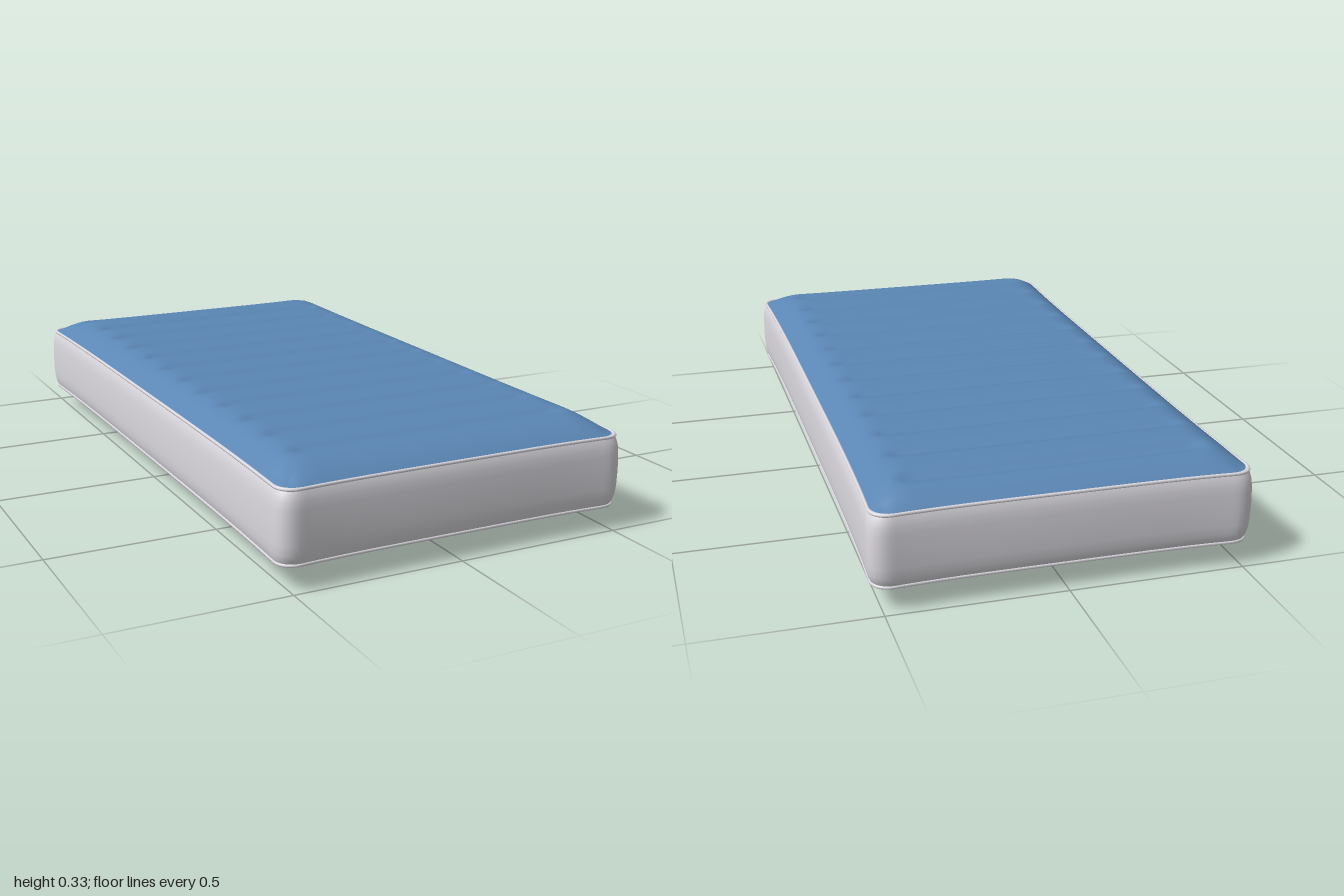
import * as THREE from 'three';

const HX = 0.537, HZ = 1.0, R = 0.06;      // half width, half length, corner radius
const NX = 72, NZ = 200;                   // grid resolution
const SEAM = 0.012, LOW = 0.07, HIGH = 0.272;

// Maps (u, v) in [-1, 1] onto a rounded rectangle whose sides pinch inwards between the corners
function place(u, v, inset) {
  const hx = HX - inset, hz = HZ - inset;
  let x = Math.abs(u) * hx, z = Math.abs(v) * hz;
  const a = x - (hx - R), b = z - (hz - R);
  if (a > 0 && b > 0) {
    const k = Math.max(a, b) / Math.hypot(a, b);
    x = hx - R + a * k;
    z = hz - R + b * k;
  }
  const px = 1 - (0.012 / hx) * (1 - (z / hz) ** 4);
  const pz = 1 - (0.015 / hz) * (1 - (x / hx) ** 4);
  return [Math.sign(u) * x * px, Math.sign(v) * z * pz];
}

function build(positions, index) {
  const g = new THREE.BufferGeometry();
  g.setAttribute('position', new THREE.Float32BufferAttribute(positions, 3));
  g.setIndex(index);
  g.computeVertexNormals();
  return g;
}

// Panel over the whole footprint, height(u, v, x, z) gives y
function panel(height, facesUp) {
  const pos = [], index = [];
  for (let j = 0; j <= NZ; j++) {
    for (let i = 0; i <= NX; i++) {
      const u = (i / NX) * 2 - 1, v = (j / NZ) * 2 - 1;
      const [x, z] = place(u, v, SEAM);
      pos.push(x, height(u, v, x, z), z);
      if (i < NX && j < NZ) {
        const p = j * (NX + 1) + i, right = p + 1, down = p + NX + 1, far = down + 1;
        if (facesUp) index.push(p, down, right, right, down, far);
        else index.push(p, right, down, right, far, down);
      }
    }
  }
  return build(pos, index);
}

// Perimeter walk, counter-clockwise seen from above
const rim = [];
for (let j = 0; j < NZ; j++) rim.push([1, 1 - (2 * j) / NZ]);
for (let i = 0; i < NX; i++) rim.push([1 - (2 * i) / NX, -1]);
for (let j = 0; j < NZ; j++) rim.push([-1, -1 + (2 * j) / NZ]);
for (let i = 0; i < NX; i++) rim.push([-1 + (2 * i) / NX, 1]);

// Sweeps a profile of [inset, y] points round the perimeter
function band(profile, closed) {
  const n = rim.length, m = profile.length, pos = [], index = [];
  for (const [inset, y] of profile) {
    for (const [u, v] of rim) {
      const [x, z] = place(u, v, inset);
      pos.push(x, y, z);
    }
  }
  for (let k = 0; k < (closed ? m : m - 1); k++) {
    for (let i = 0; i < n; i++) {
      const a = k * n + i, b = k * n + ((i + 1) % n);
      const c = ((k + 1) % m) * n + i, d = ((k + 1) % m) * n + ((i + 1) % n);
      index.push(a, b, c, b, d, c);
    }
  }
  return build(pos, index);
}

// Rounded rise from an edge: 0 at the rim, 1 once t reaches 1
const rise = (t, power) => 1 - (1 - Math.min(1, Math.max(0, t))) ** power;

export function createModel() {
  const group = new THREE.Group();
  const blue = new THREE.MeshStandardMaterial({ color: 0x5a86b4 });
  blue.name = 'blue fabric';
  const grey = new THREE.MeshStandardMaterial({ color: 0xdcdae0 });
  grey.name = 'pale grey vinyl';
  const add = (name, geometry, material) => {
    const mesh = new THREE.Mesh(geometry, material);
    mesh.name = name;
    group.add(mesh);
  };

  // Padded top with twelve cross grooves
  const grooves = Array.from({ length: 12 }, (_, i) => -0.862 + i * 0.1535);
  const topHeight = (u, v, x, z) => {
    const swell = rise(((1 - Math.abs(u)) * HX) / 0.13, 2.3) * rise(((1 - Math.abs(v)) * HZ) / 0.2, 2.5);
    const fade = 1 - THREE.MathUtils.smoothstep(Math.abs(x), 0.39, 0.45);
    let dip = 0;
    for (const g of grooves) dip += Math.exp(-(((z - g) / 0.024) ** 2));
    return HIGH + 0.055 * swell - 0.014 * dip * fade;
  };
  add('topPanel', panel(topHeight, true), blue);

  // Softly bulging underside
  const bottomHeight = (u, v) =>
    LOW * (1 - rise(((1 - Math.abs(u)) * HX) / 0.3, 2.8) * rise(((1 - Math.abs(v)) * HZ) / 0.3, 2.8));
  add('bottomPanel', panel(bottomHeight, false), blue);

  // Side wall
  add('sideWall', band([
    [SEAM, LOW], [0.007, 0.082], [0.003, 0.1], [0.001, 0.125], [0, 0.17],
    [0.001, 0.217], [0.003, 0.242], [0.007, 0.26], [SEAM, HIGH],
  ], false), grey);

  // Welded piping along both seams
  const piping = (y) => Array.from({ length: 8 }, (_, i) => {
    const a = (i / 8) * Math.PI * 2;
    return [SEAM - 0.005 * Math.cos(a), y + 0.005 * Math.sin(a)];
  });
  add('topPiping', band(piping(HIGH), true), grey);
  add('bottomPiping', band(piping(LOW), true), grey);

  return group;
}
